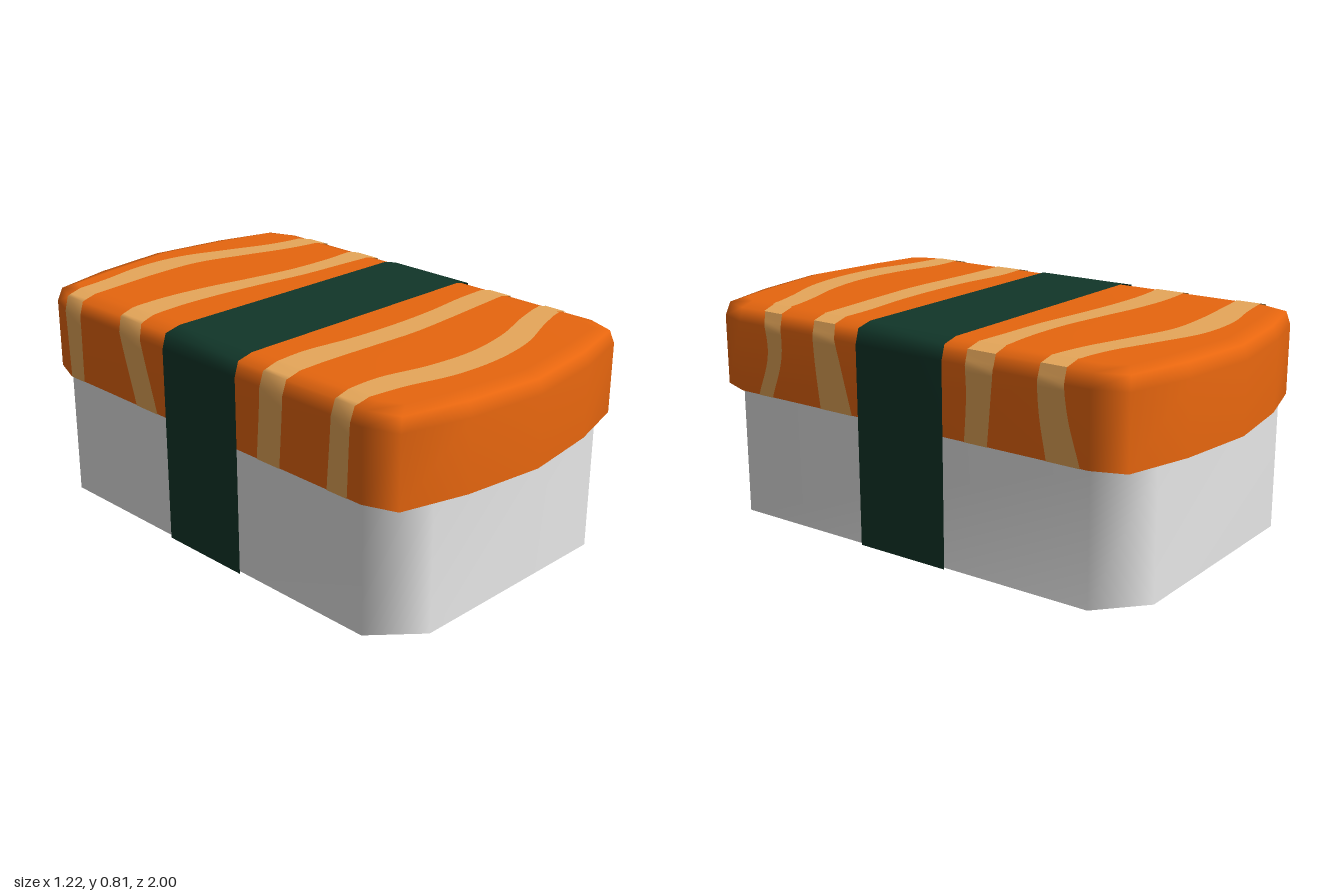
import * as THREE from 'three';

const paint = (name, color) => {
  const m = new THREE.MeshStandardMaterial({ color, side: THREE.DoubleSide });
  m.name = name;
  return m;
};

function makeMesh(name, positions, index, material) {
  const g = new THREE.BufferGeometry();
  g.setAttribute('position', new THREE.Float32BufferAttribute(positions, 3));
  g.setIndex(index);
  g.computeVertexNormals();
  const mesh = new THREE.Mesh(g, material);
  mesh.name = name;
  return mesh;
}

// Stacked closed rings of [x, y, z]; the optional cap joins front points to back points.
function loft(name, rings, capped, material) {
  const n = rings[0].length, index = [];
  for (let r = 0; r < rings.length - 1; r++) {
    for (let i = 0; i < n; i++) {
      const j = (i + 1) % n, a = r * n, b = a + n;
      index.push(a + i, a + j, b + j, a + i, b + j, b + i);
    }
  }
  if (capped) {
    const o = (rings.length - 1) * n;
    for (let i = 0; i < n / 2 - 1; i++) {
      index.push(o + i, o + i + 1, o + n - 2 - i, o + i, o + n - 2 - i, o + n - 1 - i);
    }
  }
  return makeMesh(name, rings.flat(2), index, material);
}

// Mirrors one front corner (listed from the middle out) to a full outline, front first.
function outline(half) {
  const left = half.filter(([x]) => x > 0).map(([x, z]) => [-x, z]).reverse();
  const front = [...left, ...half];
  return [...front, ...front.map(([x, z]) => [x, -z]).reverse()];
}

// Half cross-section of the topping: [distance from the middle, x, y]
const SECTION = [[0, 0, 0.81], [0.53, 0.53, 0.81], [0.588, 0.588, 0.795], [0.64, 0.605, 0.745], [0.905, 0.605, 0.48]];

// Point on the cross-section at signed distance s, pushed outward by off
function sectionPoint(s, off) {
  const d = Math.min(Math.abs(s), 0.905);
  const k = Math.max(1, SECTION.findIndex((p) => p[0] >= d));
  const [a, b] = [SECTION[k - 1], SECTION[k]];
  const t = (d - a[0]) / (b[0] - a[0]);
  const x = a[1] + (b[1] - a[1]) * t, y = a[2] + (b[2] - a[2]) * t;
  return [Math.sign(s) * (x + (d > 0.53 ? off : 0)), y + (d < 0.6 ? off : 0)];
}

// Strip over the topping from [x, y, zBack, zFront] stations
function strip(name, stations, material) {
  const pos = [], index = [];
  stations.forEach(([x, y, z0, z1], i) => {
    pos.push(x, y, z1, x, y, z0);
    const a = 2 * i;
    if (i) index.push(a - 2, a, a + 1, a - 2, a + 1, a - 1);
  });
  return makeMesh(name, pos, index, material);
}

// Stripe edges [zBack, zFront] at these distances across the topping
const ACROSS = [-0.905, -0.6, -0.4, -0.2, 0, 0.2, 0.4, 0.6, 0.74, 0.905];
const STRIPES = [
  [[-0.76, -0.68], [-0.775, -0.68], [-0.80, -0.70], [-0.84, -0.72], [-0.835, -0.72], [-0.77, -0.665], [-0.70, -0.605], [-0.675, -0.575], [-0.69, -0.58], [-0.74, -0.61]],
  [[-0.36, -0.24], [-0.45, -0.33], [-0.47, -0.355], [-0.455, -0.35], [-0.42, -0.33], [-0.39, -0.305], [-0.385, -0.295], [-0.40, -0.285], [-0.39, -0.29], [-0.375, -0.28]],
  [[0.29, 0.40], [0.31, 0.42], [0.30, 0.42], [0.325, 0.43], [0.335, 0.44], [0.33, 0.43], [0.31, 0.415], [0.30, 0.40], [0.265, 0.39], [0.22, 0.37]],
  [[0.62, 0.71], [0.64, 0.725], [0.64, 0.75], [0.685, 0.80], [0.70, 0.81], [0.67, 0.78], [0.605, 0.705], [0.56, 0.645], [0.555, 0.625], [0.61, 0.68]],
];

function stripe(rows, off, material) {
  const curve = new THREE.CatmullRomCurve3(rows.map(([a, b], i) => new THREE.Vector3(ACROSS[i], a, b)));
  const stations = curve.getPoints(63).map((p) => {
    // snap to the section's corners so the stripe hugs the surface
    const corner = SECTION.find((c) => Math.abs(Math.abs(p.x) - c[0]) < 0.016);
    const s = corner ? Math.sign(p.x) * corner[0] : p.x;
    return [...sectionPoint(s, off), p.y, p.z];
  });
  return strip(off > 0 ? 'stripe' : 'stripeInside', stations, material);
}

export function createModel() {
  const white = paint('rice white', 0xf0f0f0);
  const orange = paint('fish orange', 0xf46c10);
  const cream = paint('stripe tan', 0xe8a85a);
  const green = paint('seaweed green', 0x113629);
  const model = new THREE.Group();
  model.name = 'sushi';

  // Rice block: open wall with chamfered corners
  const riceOutline = outline([[0.43, 0.92], [0.597, 0.77]]);
  model.add(loft('rice', [0, 0.48].map((y) => riceOutline.map(([x, z]) => [x, y, z])), false, white));

  // Fish topping: hollow shell with bowed ends and a rounded top edge
  const corner = [[0, 1, 0, 1], [0.31, 0.96, 0.3, 1], [0.56, 0.89, 0.9, 0.6], [0.605, 0.77, 1, 0]];
  const rings = [[0.48, 0], [0.745, 0], [0.795, 0.018], [0.81, 0.075]].map(([y, inset]) =>
    outline(corner.map(([x, z, dx, dz]) => [x - dx * inset, z - dz * inset])).map(([x, z]) => [x, y, z]));
  model.add(loft('fish', rings, true, orange));

  // Wavy stripes, on the outside and inside of the shell
  for (const rows of STRIPES) {
    model.add(stripe(rows, 0.003, cream), stripe(rows, -0.003, cream));
  }

  // Seaweed band over the top and down both sides
  const side = [0.53, 0.588, 0.64].map((s) => sectionPoint(s, 0.005));
  side.push([0.61, 0]);
  const path = [...side.map(([x, y]) => [-x, y]).reverse(), ...side];
  model.add(strip('seaweedBand', path.map(([x, y]) => [x, y, -0.19, 0.19]), green));
  return model;
}
